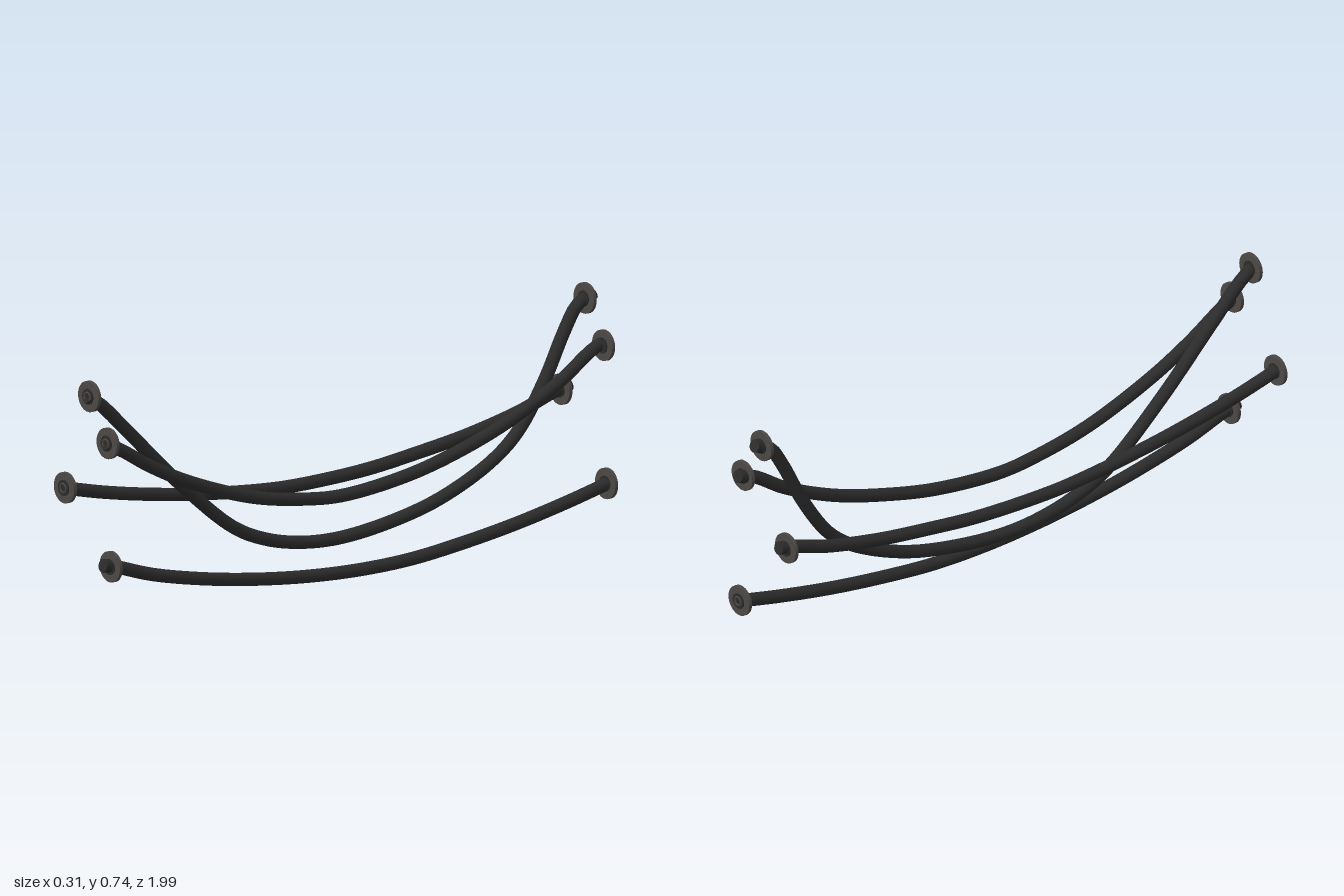
import * as THREE from 'three';

const CABLE_RADIUS = 0.02;
const cableMat = new THREE.MeshStandardMaterial({ color: 0x2b2b2b });
const flangeMat = new THREE.MeshStandardMaterial({ color: 0x4b4745 });

// Sagging centre lines: [z, y] from front to back, x at rest, optional sideways drift at the back.
// stub = end (+1 front, -1 back) where the cable pokes through its flange.
const CABLES = [
  { name: 'deepCable', x: 0.005, stub: -1, drift: -0.002, flanges: [0.668, 0.692],
    path: [[0.965, 0.668], [0.92, 0.64], [0.8, 0.53], [0.6, 0.345], [0.4, 0.19], [0.28, 0.138], [0.15, 0.109], [0, 0.1],
      [-0.2, 0.12], [-0.4, 0.165], [-0.6, 0.25], [-0.7, 0.325], [-0.8, 0.46], [-0.88, 0.605], [-0.93, 0.676], [-0.99, 0.702]] },
  { name: 'upperLeftCable', x: 0.09, stub: -1, drift: -0.012, flanges: [0.54, 0.563],
    path: [[0.965, 0.54], [0.9, 0.508], [0.8, 0.45], [0.65, 0.38], [0.4, 0.297], [0.2, 0.262], [0.05, 0.252],
      [-0.2, 0.277], [-0.4, 0.322], [-0.6, 0.385], [-0.8, 0.475], [-0.93, 0.555], [-0.99, 0.574]] },
  { name: 'rightCable', x: -0.107, stub: -1, drift: 0, flanges: [0.372, 0.396],
    path: [[0.965, 0.372], [0.8, 0.335], [0.6, 0.3], [0.4, 0.274], [0.2, 0.256], [0.07, 0.251],
      [-0.2, 0.26], [-0.4, 0.282], [-0.6, 0.31], [-0.8, 0.352], [-0.94, 0.395], [-0.99, 0.405]] },
  { name: 'lowerLeftCable', x: 0.104, stub: 1, drift: 0, flanges: [0.168, 0.146],
    path: [[0.99, 0.176], [0.94, 0.165], [0.8, 0.122], [0.6, 0.08], [0.4, 0.05], [0.2, 0.03], [0, 0.021],
      [-0.2, 0.025], [-0.4, 0.045], [-0.6, 0.073], [-0.8, 0.11], [-0.965, 0.146]] },
];

// Thin disc with a low hub on each face, axis along z
const flangeGeo = new THREE.CylinderGeometry(0.047, 0.047, 0.011, 32).rotateX(Math.PI / 2);
const hubGeo = new THREE.CylinderGeometry(0.024, 0.024, 0.018, 24).rotateX(Math.PI / 2);
const rimGeo = new THREE.TorusGeometry(0.013, 0.003, 6, 24);

function addMesh(parent, geometry, material, name) {
  const mesh = new THREE.Mesh(geometry, material);
  mesh.name = name;
  parent.add(mesh);
  return mesh;
}

function makeFlange(side, stub) {
  const flange = new THREE.Group();
  flange.name = side > 0 ? 'frontFlange' : 'backFlange';
  addMesh(flange, flangeGeo, flangeMat, 'flangeDisc');
  addMesh(flange, hubGeo, cableMat, 'flangeHub');
  // ring around the socket where the cable stops flush
  if (!stub) addMesh(flange, rimGeo, flangeMat, 'socketRing').position.z = side * 0.009;
  return flange;
}

function makeCable({ name, x, stub, drift, flanges, path }) {
  const group = new THREE.Group();
  group.name = name;

  // drift peaks close to the back flange and fades towards the middle
  const points = path.map(([z, y]) => {
    const bend = THREE.MathUtils.smoothstep(-z, 0.35, 0.85);
    return new THREE.Vector3(x + drift * bend, y, z);
  });
  const curve = new THREE.CatmullRomCurve3(points, false, 'centripetal');
  addMesh(group, new THREE.TubeGeometry(curve, 80, CABLE_RADIUS, 16), cableMat, 'cable');

  // closing discs at both cable ends
  for (const t of [0, 1]) {
    const cap = addMesh(group, new THREE.CircleGeometry(CABLE_RADIUS, 16), cableMat, 'cableEnd');
    const out = curve.getTangentAt(t).multiplyScalar(t ? 1 : -1);
    cap.position.copy(curve.getPointAt(t));
    cap.quaternion.setFromUnitVectors(new THREE.Vector3(0, 0, 1), out);
  }

  [1, -1].forEach((side, i) => {
    const flange = makeFlange(side, side === stub);
    flange.position.set(x, flanges[i], side * 0.958);
    group.add(flange);
  });
  return group;
}

export function createModel() {
  const model = new THREE.Group();
  model.name = 'hangingCables';
  for (const cable of CABLES) model.add(makeCable(cable));
  return model;
}
